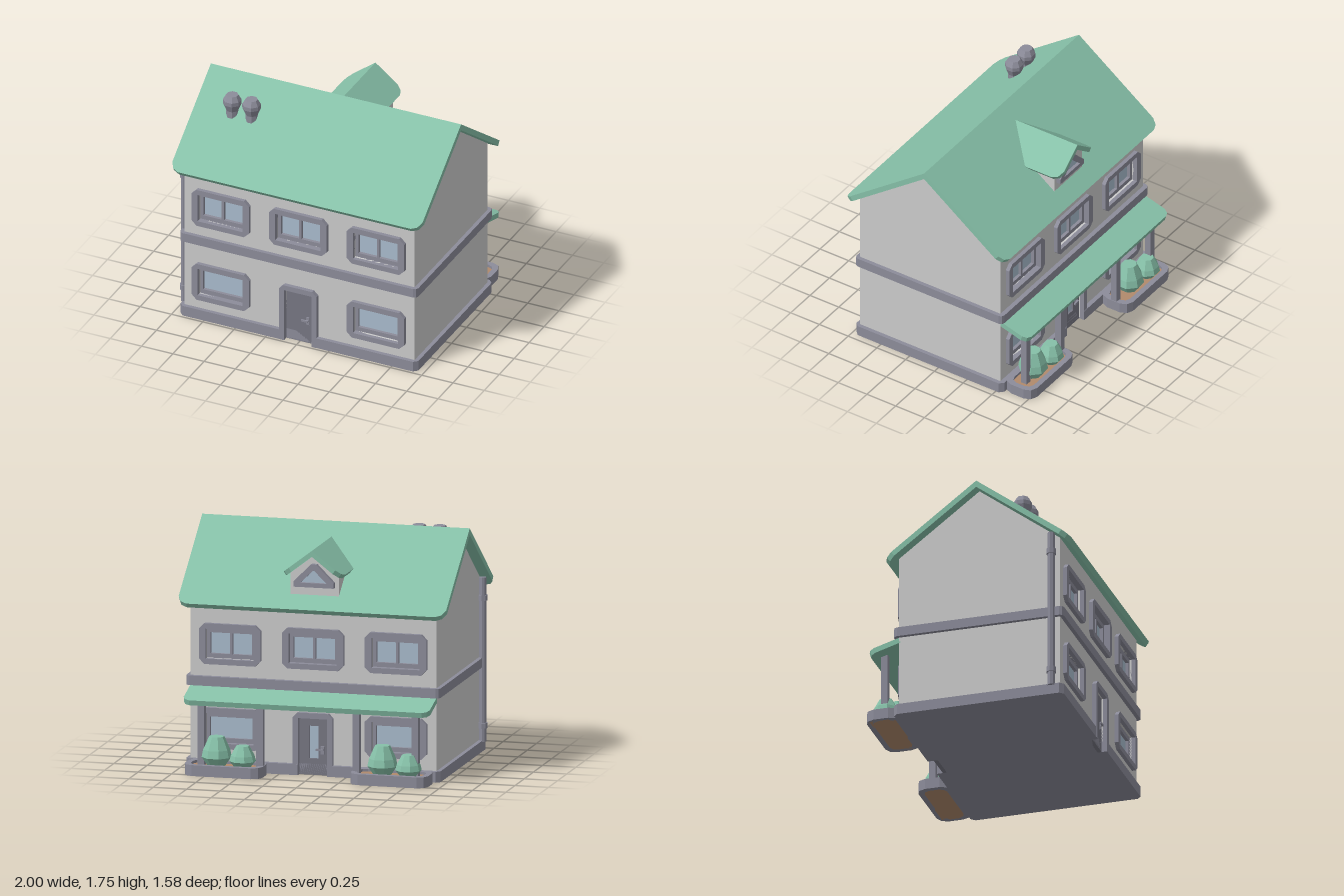
import * as THREE from 'three';

const mat = (color) => new THREE.MeshStandardMaterial({ color, flatShading: true });
const M = {
  wall: mat(0xcccccc), trim: mat(0x8c8c9a), door: mat(0x777783),
  green: mat(0x86c0a8), glass: mat(0xa9bccd), soil: mat(0xb08a6c),
};

function add(parent, name, geometry, material, x = 0, y = 0, z = 0) {
  const mesh = new THREE.Mesh(geometry, material);
  mesh.name = name;
  mesh.position.set(x, y, z);
  parent.add(mesh);
  return mesh;
}
const box = (w, h, d) => new THREE.BoxGeometry(w, h, d);
const poly = (pts) => new THREE.Shape(pts.map(([x, y]) => new THREE.Vector2(x, y)));
const lathe = (pts, sides = 8) =>
  new THREE.LatheGeometry(pts.map(([r, y]) => new THREE.Vector2(r, y)), sides, Math.PI / sides);

// rectangle centred on (x, y) with cut corners
function rect(w, h, c = 0, x = 0, y = 0) {
  const a = w / 2, b = h / 2;
  if (!c) return poly([[x - a, y - b], [x + a, y - b], [x + a, y + b], [x - a, y + b]]);
  const k = c * 0.3, pts = [];
  for (const [sx, sy] of [[1, -1], [1, 1], [-1, 1], [-1, -1]]) {
    const corner = [[a - c, b], [a - k, b - k], [a, b - c]].map(([p, q]) => [x + sx * p, y + sy * q]);
    pts.push(...(sx * sy < 0 ? corner : corner.reverse()));
  }
  return poly(pts);
}
function bevelRect(w, h, c) {
  const a = w / 2, b = h / 2;
  return poly([[c - a, -b], [a - c, -b], [a, c - b], [a, b - c], [a - c, b], [c - a, b], [-a, b - c], [-a, c - b]]);
}
// extrude in +z
function slab(shape, depth, holes = []) {
  shape.holes.push(...holes);
  return new THREE.ExtrudeGeometry(shape, { depth, bevelEnabled: false });
}
// extrude a plan upwards (shape y becomes -z)
const plan = (shape, h, holes) => slab(shape, h, holes).rotateX(-Math.PI / 2);

// sloping roof sheet falling towards +z from its top edge, lower corners c0 and c1 cut
function roofSheet(x0, x1, run, drop, t, c0, c1) {
  const L = Math.hypot(run, drop), pts = [[x1, 0], [x0, 0]];
  if (c0) pts.push([x0, -L + c0], [x0 + c0 * 0.35, -L + c0 * 0.3], [x0 + c0, -L]); else pts.push([x0, -L]);
  if (c1) pts.push([x1 - c1, -L], [x1 - c1 * 0.35, -L + c1 * 0.3], [x1, -L + c1]); else pts.push([x1, -L]);
  return slab(poly(pts), t).translate(0, 0, -t).rotateX(Math.atan2(drop, run) - Math.PI / 2);
}

// window set in the wall, with one or two panes
function makeWindow(panes) {
  const g = new THREE.Group();
  g.name = 'window';
  add(g, 'windowFrame', slab(bevelRect(0.46, 0.3, 0.04), 0.05, [rect(0.36, 0.22)]), M.trim, 0, 0, -0.02);
  const holes = panes === 2
    ? [rect(0.145, 0.155, 0, -0.0825), rect(0.145, 0.155, 0, 0.0825)]
    : [rect(0.315, 0.155)];
  add(g, 'windowSash', slab(rect(0.37, 0.23), 0.03, holes), M.trim, 0, 0, -0.045);
  add(g, 'windowPane', box(0.34, 0.18, 0.012), M.glass, 0, 0, -0.045);
  return g;
}

// long wall with windows and a door, facing +z
function makeFacade(glazedDoor) {
  const g = new THREE.Group();
  g.name = 'facade';
  const spots = [[-0.62, 0.93, 2], [0, 0.93, 2], [0.62, 0.93, 2], [-0.62, 0.31, 1], [0.62, 0.31, 1]];
  const outline = poly([[-0.84, 0.01], [-0.11, 0.01], [-0.11, 0.42], [0.11, 0.42], [0.11, 0.01],
    [0.84, 0.01], [0.84, 1.245], [-0.84, 1.245]]);
  const holes = spots.map(([x, y]) => rect(0.36, 0.22, 0, x, y));
  add(g, 'longWall', slab(outline, 0.08, holes), M.wall, 0, 0, -0.08);
  for (const [x, y, panes] of spots) {
    const w = makeWindow(panes);
    w.position.set(x, y, 0);
    g.add(w);
  }
  add(g, 'doorFrame', slab(poly([[-0.15, 0], [-0.11, 0], [-0.11, 0.42], [0.11, 0.42], [0.11, 0],
    [0.15, 0], [0.15, 0.425], [0.115, 0.46], [-0.115, 0.46], [-0.15, 0.425]]), 0.052), M.trim, 0, 0, -0.02);
  const panel = glazedDoor ? [rect(0.07, 0.24, 0, 0, 0.24)] : [];
  add(g, 'door', slab(rect(0.22, 0.42, 0, 0, 0.21), 0.03, panel), M.door, 0, 0, -0.04);
  if (glazedDoor) add(g, 'doorPane', box(0.08, 0.25, 0.01), M.glass, 0, 0.24, -0.03);
  add(g, 'handlePlate', box(0.025, 0.06, 0.01), M.trim, 0.065, 0.185, -0.006);
  add(g, 'handleLever', box(0.05, 0.014, 0.012), M.trim, 0.045, 0.19, 0.012);
  add(g, 'handleStem', box(0.014, 0.014, 0.02), M.trim, 0.065, 0.19, 0.002);
  return g;
}

// planter with two clipped bushes
function makePlanter() {
  const g = new THREE.Group();
  g.name = 'planter';
  add(g, 'planterRim', plan(rect(0.58, 0.25, 0.07), 0.08, [rect(0.5, 0.17, 0.05)]), M.trim);
  add(g, 'soil', box(0.52, 0.06, 0.19), M.soil, 0, 0.03, 0);
  const bush = lathe([[0, 0], [0.065, 0], [0.11, 0.065], [0.098, 0.12], [0.055, 0.215], [0, 0.215]]);
  add(g, 'tallBush', bush, M.green, 0.07, 0.06, 0.01);
  add(g, 'shortBush', bush, M.green, -0.13, 0.06, -0.01).scale.set(0.88, 0.74, 0.88);
  return g;
}

// dormer on the rear slope
function makeDormer() {
  const g = new THREE.Group();
  g.name = 'dormer';
  add(g, 'dormerWall', slab(poly([[-0.18, 1.25], [0.18, 1.25], [0.18, 1.475], [0, 1.615], [-0.18, 1.475]]), 0.45),
    M.wall, 0, 0, -0.49);
  const frame = poly([[-0.15, 1.38], [0.15, 1.38], [0.15, 1.42], [0.02, 1.55], [-0.02, 1.55], [-0.15, 1.42]]);
  add(g, 'dormerWindowFrame', slab(frame, 0.045, [poly([[-0.1, 1.412], [0.1, 1.412], [0, 1.508]])]),
    M.trim, 0, 0, -0.525);
  add(g, 'dormerWindowPane', slab(poly([[-0.11, 1.405], [0.11, 1.405], [0, 1.515]]), 0.02), M.glass, 0, 0, -0.5);
  add(g, 'dormerRoof', roofSheet(0, 0.57, 0.23, 0.177, 0.035, 0, 0.07).rotateY(Math.PI / 2), M.green, 0, 1.66, 0);
  add(g, 'dormerRoof', roofSheet(-0.57, 0, 0.23, 0.177, 0.035, 0.07, 0).rotateY(-Math.PI / 2), M.green, 0, 1.66, 0);
  return g;
}

export function createModel() {
  const house = new THREE.Group();
  house.name = 'house';

  // walls
  const front = makeFacade(false);
  front.position.z = 0.7;
  const back = makeFacade(true);
  back.position.z = -0.52;
  back.rotation.y = Math.PI;
  house.add(front, back);
  const gable = poly([[-0.7, 0.01], [0.52, 0.01], [0.52, 1.245], [-0.09, 1.7], [-0.7, 1.245]]);
  const gableGeo = slab(gable, 0.08).rotateY(Math.PI / 2);
  add(house, 'gableWall', gableGeo, M.wall, 0.84);
  add(house, 'gableWall', gableGeo, M.wall, -0.92);

  // plinth, notched at both doors
  const half = [[0.11, -0.73], [0.92, -0.73], [0.95, -0.7], [0.95, 0.525], [0.92, 0.555], [0.11, 0.555]];
  const plinth = poly([[0.11, -0.69], ...half, [0.11, 0.51], [-0.11, 0.51],
    ...half.map(([x, y]) => [-x, y]).reverse(), [-0.11, -0.69]]);
  add(house, 'plinth', plan(plinth, 0.08), M.trim);

  // storey band
  add(house, 'storeyBand', plan(rect(1.9, 1.285, 0.03), 0.07), M.trim, 0, 0.62, 0.0875);

  // main roof
  const slope = () => roofSheet(-1, 1, 0.7, 0.52, 0.04, 0.07, 0.07);
  add(house, 'frontRoof', slope(), M.green, 0, 1.75, 0.09);
  add(house, 'backRoof', slope().rotateY(Math.PI), M.green, 0, 1.75, 0.09);
  house.add(makeDormer());

  // chimney pots
  const pot = lathe([[0.045, 1.42], [0.045, 1.58], [0.068, 1.635], [0.068, 1.665], [0.045, 1.705], [0, 1.705]]);
  for (const x of [-0.705, -0.55]) add(house, 'chimneyPot', pot, M.trim, x, 0, 0.35);

  // porch
  add(house, 'porchRoof', roofSheet(-0.92, 0.92, 0.238, 0.07, 0.04, 0.05, 0.05).rotateY(Math.PI),
    M.green, 0, 0.62, -0.518);
  for (const x of [-0.8, -0.36, 0.36, 0.8]) add(house, 'porchPost', box(0.05, 0.49, 0.05), M.trim, x, 0.305, -0.66);
  for (const x of [-0.62, 0.62]) {
    const planter = makePlanter();
    planter.position.set(x, 0, -0.66);
    house.add(planter);
  }

  // drainpipe
  const tube = (r, h) => new THREE.CylinderGeometry(r, r, h, 8);
  add(house, 'drainpipe', tube(0.027, 1.21), M.trim, -0.947, 0.675, 0.64);
  for (const y of [0.19, 1.13]) add(house, 'pipeCollar', tube(0.037, 0.04), M.trim, -0.947, y, 0.64);

  return house;
}
